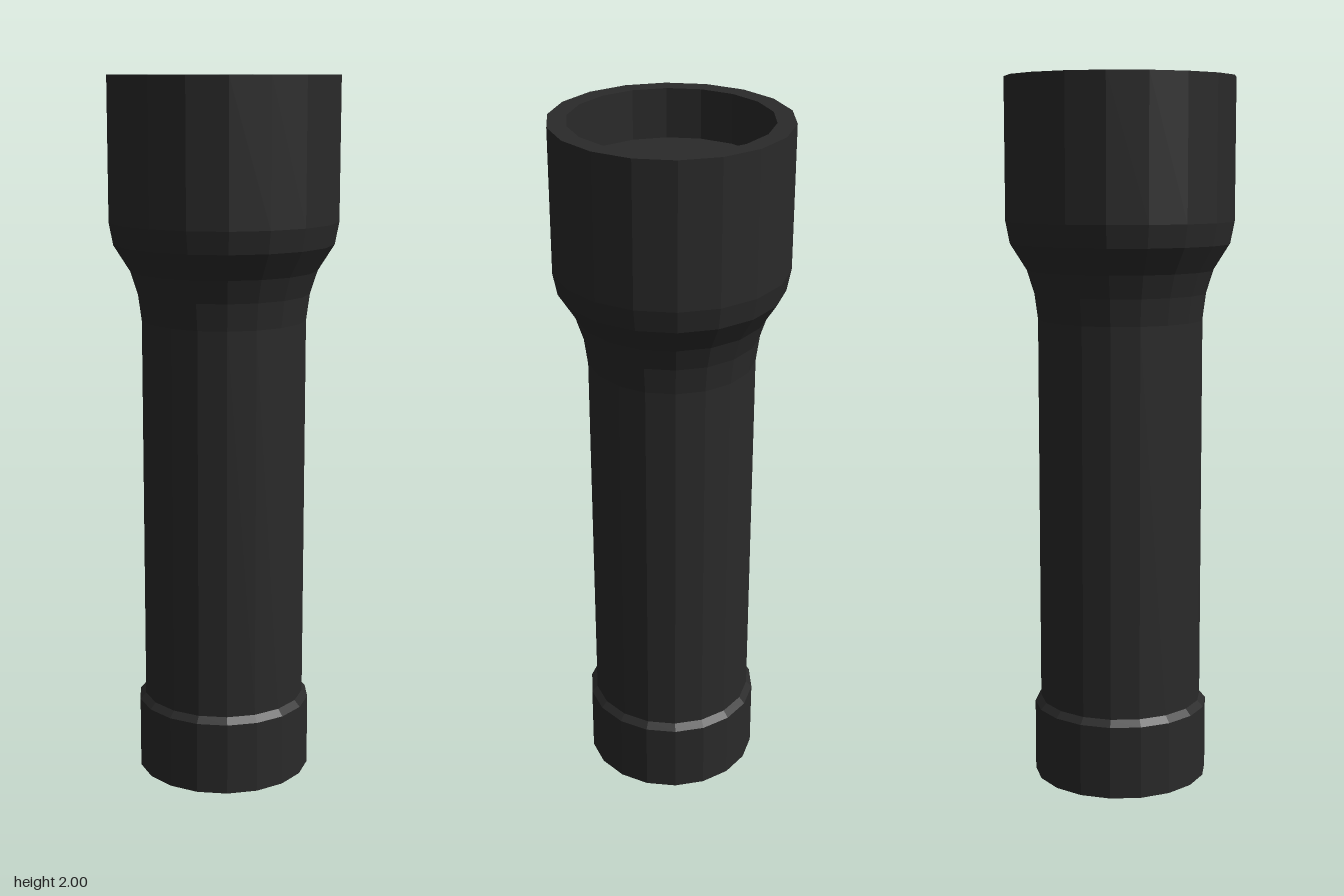
import * as THREE from 'three';

const SIDES = 18;

export function createModel() {
  const group = new THREE.Group();
  group.name = 'flashlight';
  const material = new THREE.MeshStandardMaterial({ color: 0x2a2a2a, flatShading: true });

  // Each part is a turned [radius, height] profile, listed from bottom to top
  const turn = (name, profile) => {
    const points = profile.map(([r, y]) => new THREE.Vector2(r, y));
    const mesh = new THREE.Mesh(new THREE.LatheGeometry(points, SIDES), material);
    mesh.name = name;
    group.add(mesh);
  };

  // Closed tail cap with a small chamfer where it meets the handle
  turn('tailCap', [[0, 0], [0.25, 0], [0.25, 0.208], [0.233, 0.226]]);

  // Straight handle tube
  turn('handle', [[0.233, 0.226], [0.233, 1.33]]);

  // Flared neck, head wall, rim and the inner wall of the recess
  turn('head', [
    [0.233, 1.33], [0.243, 1.405], [0.264, 1.47], [0.31, 1.543], [0.322, 1.605],
    [0.322, 2], [0.271, 2], [0.271, 1.863],
  ]);

  // Flat lens at the bottom of the recess
  turn('lens', [[0.271, 1.863], [0, 1.863]]);

  return group;
}
